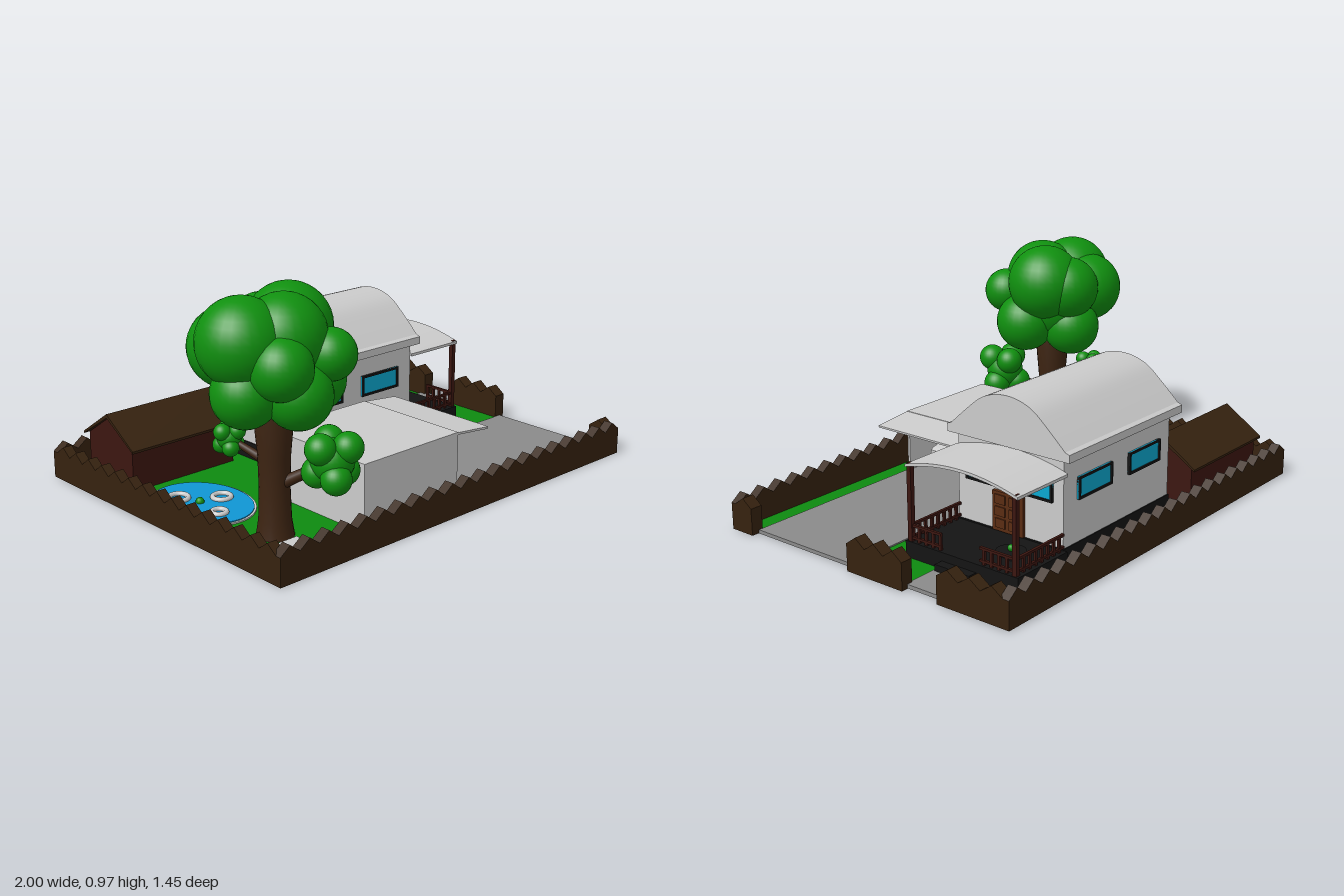
import * as THREE from 'three';
import { toCreasedNormals } from 'three/addons/utils/BufferGeometryUtils.js';

const mat = (color) => new THREE.MeshStandardMaterial({ color });
const M = {
  grey: mat(0xcccccc), paving: mat(0x8a8a8a), lawn: mat(0x0e8a10), leaf: mat(0x10900f),
  fence: mat(0x36220f), bark: mat(0x3d2412), red: mat(0x3c1610), door: mat(0x5a2c12),
  black: mat(0x141414), glass: mat(0x0aa8d0), water: mat(0x1096d4),
};

function add(parent, name, geo, material, x = 0, y = 0, z = 0) {
  const m = new THREE.Mesh(geo, material);
  m.name = name;
  m.position.set(x, y, z);
  parent.add(m);
  return m;
}

// box given by its extents along each axis
function box(parent, name, material, x0, x1, y0, y1, z0, z1) {
  return add(parent, name, new THREE.BoxGeometry(x1 - x0, y1 - y0, z1 - z0), material,
    (x0 + x1) / 2, (y0 + y1) / 2, (z0 + z1) / 2);
}

function group(parent, name, x = 0, y = 0, z = 0) {
  const g = new THREE.Group();
  g.name = name;
  g.position.set(x, y, z);
  parent.add(g);
  return g;
}

function extrude(pts, depth) {
  const shape = new THREE.Shape(pts.map(([x, y]) => new THREE.Vector2(x, y)));
  return new THREE.ExtrudeGeometry(shape, { depth, bevelEnabled: false });
}

// profile of [z, y] points swept from x0 to x1
function sweepX(parent, name, material, pts, x0, x1) {
  const geo = extrude(pts.map(([z, y]) => [-z, y]), x1 - x0).rotateY(Math.PI / 2);
  return add(parent, name, toCreasedNormals(geo, 0.4), material, x0);
}

// straight limb between two points
function limb(parent, name, a, b, r0, r1) {
  const p = new THREE.Vector3(...a), q = new THREE.Vector3(...b), d = q.clone().sub(p);
  const m = add(parent, name, new THREE.CylinderGeometry(r1, r0, d.length(), 16), M.bark);
  m.position.copy(p).add(q).multiplyScalar(0.5);
  m.quaternion.setFromUnitVectors(new THREE.Vector3(0, 1, 0), d.normalize());
}

// fence panel with a saw-tooth top; runs along x or along z
function fencePanel(parent, start, end, offset, thick, alongZ) {
  const len = end - start, n = Math.max(1, Math.round(len / 0.095)), pts = [[0, 0], [len, 0]];
  for (let i = n; i > 0; i--) pts.push([len * i / n, 0.115], [len * (i - 0.5) / n, 0.15]);
  pts.push([0, 0.115]);
  const m = add(parent, 'fencePanel', extrude(pts, thick), M.fence);
  if (alongZ) {
    m.rotation.y = -Math.PI / 2;
    m.position.set(offset + thick, 0, start);
  } else m.position.set(start, 0, offset);
}

// framed window facing +z before rotation
function windowUnit(parent, x, y, z, w, h, rot) {
  const g = group(parent, 'window', x, y, z);
  g.rotation.y = rot;
  add(g, 'windowGlass', new THREE.BoxGeometry(w, h, 0.012), M.glass);
  const b = 0.009;
  for (const s of [-1, 1]) {
    add(g, 'windowFrame', new THREE.BoxGeometry(w, b, 0.026), M.black, 0, s * (h - b) / 2);
    add(g, 'windowFrame', new THREE.BoxGeometry(b, h, 0.026), M.black, s * (w - b) / 2);
  }
}

function buildHouse(root) {
  const g = group(root, 'house');
  box(g, 'foundation', M.black, -0.245, 0.485, 0.012, 0.085, -0.575, -0.045);
  box(g, 'walls', M.grey, -0.24, 0.48, 0.08, 0.45, -0.57, -0.05);
  // barrel roof
  const curve = new THREE.SplineCurve([[0.28, 0.485], [0.2, 0.558], [0.13, 0.615], [0.065, 0.642], [0, 0.65],
    [-0.065, 0.642], [-0.13, 0.615], [-0.2, 0.558], [-0.28, 0.485]].map((p) => new THREE.Vector2(p[0] - 0.31, p[1])));
  const arc = curve.getPoints(32).map((p) => [p.x, p.y]);
  sweepX(g, 'roof', M.grey, [[-0.61, 0.445], [-0.01, 0.445], [-0.01, 0.478], ...arc, [-0.61, 0.478]].reverse(), -0.27, 0.5);
  // windows
  for (const [x, w] of [[-0.052, 0.22], [0.285, 0.22]]) {
    windowUnit(g, x, 0.308, -0.05, w, 0.092, 0);
    windowUnit(g, x, 0.308, -0.57, w, 0.092, Math.PI);
  }
  for (const z of [-0.165, -0.452]) {
    windowUnit(g, 0.48, 0.308, z, 0.14, 0.088, Math.PI / 2);
    windowUnit(g, -0.24, 0.308, z, 0.14, 0.088, -Math.PI / 2);
  }
  // door with raised panels
  box(g, 'door', M.door, 0.475, 0.495, 0.085, 0.25, -0.386, -0.234);
  for (let i = 0; i < 3; i++) for (const z of [-0.345, -0.275])
    box(g, 'doorPanel', M.door, 0.49, 0.5, 0.1 + i * 0.05, 0.138 + i * 0.05, z - 0.025, z + 0.025);
}

function buildPorch(root) {
  const g = group(root, 'porch');
  box(g, 'porchDeck', M.black, 0.48, 0.78, 0.012, 0.08, -0.59, -0.035);
  box(g, 'porchStep', M.black, 0.78, 0.82, 0.012, 0.045, -0.39, -0.22);
  // arched canopy
  const top = [], under = [];
  for (let i = 0; i <= 20; i++) {
    const t = i / 10 - 1, y = 0.395 + 0.042 * (1 - t * t);
    top.push([-0.315 + t * 0.275, y]);
    under.unshift([-0.315 + t * 0.275, y - 0.012]);
  }
  sweepX(g, 'porchRoof', M.grey, [...top, ...under], 0.48, 0.78);
  // posts and railings
  const bar = (...e) => box(g, 'railing', M.red, ...e);
  for (const z of [-0.055, -0.57]) {
    box(g, 'porchPost', M.red, 0.756, 0.776, 0.08, 0.4, z - 0.01, z + 0.01);
    for (const y of [0.09, 0.14]) bar(0.48, 0.77, y, y + 0.01, z - 0.006, z + 0.006);
    for (let x = 0.5; x < 0.75; x += 0.036) bar(x, x + 0.012, 0.08, 0.145, z - 0.005, z + 0.005);
  }
  for (const [a, b] of [[-0.57, -0.4], [-0.21, -0.055]]) {
    for (const y of [0.09, 0.14]) bar(0.76, 0.772, y, y + 0.01, a, b);
    for (let z = a; z < b; z += 0.036) bar(0.761, 0.771, 0.08, 0.145, z, z + 0.012);
  }
  // table with plant
  add(g, 'tableTop', new THREE.CylinderGeometry(0.06, 0.06, 0.008, 24), M.black, 0.67, 0.115, -0.47);
  add(g, 'tableLeg', new THREE.CylinderGeometry(0.01, 0.01, 0.035, 10), M.black, 0.67, 0.097, -0.47);
  add(g, 'tablePlant', new THREE.SphereGeometry(0.014, 12, 8), M.leaf, 0.67, 0.13, -0.47);
}

function buildCar(root, x, z, w, lift) {
  const g = group(root, 'car', x, lift, z);
  const side = [[-0.17, 0.025], [0.17, 0.025], [0.17, 0.07], [0.15, 0.08], [0.065, 0.098], [0.02, 0.16], [-0.1, 0.16], [-0.165, 0.1]];
  add(g, 'carBody', extrude(side, w - 0.02), M.grey, 0, 0, -w / 2 + 0.01);
  const shield = add(g, 'windshield', new THREE.BoxGeometry(0.008, 0.068, w - 0.035), M.glass, 0.043, 0.129, 0);
  shield.rotation.z = 0.628;
  box(g, 'bumper', M.black, 0.165, 0.178, 0.03, 0.042, -w / 2 + 0.01, w / 2 - 0.01);
  for (const s of [-1, 1]) {
    box(g, 'sideGlass', M.glass, -0.09, 0.015, 0.108, 0.148, s * (w / 2 - 0.011) - 0.003, s * (w / 2 - 0.011) + 0.003);
    for (const wx of [-0.1, 0.1])
      add(g, 'wheel', new THREE.CylinderGeometry(0.032, 0.032, 0.022, 20).rotateX(Math.PI / 2), M.black, wx, 0.032, s * (w / 2 - 0.009));
  }
}

function buildGarage(root) {
  const g = group(root, 'garage');
  box(g, 'garageFloor', M.paving, -0.43, 0.08, 0.01, 0.018, 0.08, 0.59);
  box(g, 'garageBack', M.grey, -0.44, -0.42, 0.01, 0.275, 0.07, 0.605);
  for (const z of [0.07, 0.593]) box(g, 'garageWall', M.grey, -0.42, 0.08, 0.01, 0.275, z, z + 0.012);
  box(g, 'garageRoof', M.grey, -0.44, 0.08, 0.272, 0.292, 0.07, 0.605);
  const door = box(g, 'raisedDoor', M.grey, 0.078, 0.262, 0.272, 0.281, 0.07, 0.605);
  door.rotation.z = -0.1;
  buildCar(g, -0.2, 0.482, 0.19, 0.015);
  buildCar(g, -0.11, 0.207, 0.18, 0.02);
}

function buildTree(root) {
  const g = group(root, 'tree');
  const trunk = [[0.075, 0.01], [0.064, 0.08], [0.06, 0.2], [0.063, 0.33], [0.078, 0.5], [0.06, 0.6]];
  add(g, 'trunk', new THREE.LatheGeometry(trunk.map((p) => new THREE.Vector2(...p)), 20), M.bark, -0.69, 0, 0.38);
  limb(g, 'branch', [-0.69, 0.22, 0.4], [-0.59, 0.33, 0.57], 0.025, 0.018);
  limb(g, 'branch', [-0.7, 0.3, 0.36], [-0.77, 0.375, 0.23], 0.02, 0.012);
  const ball = (x, y, z, r) => add(g, 'foliage', new THREE.SphereGeometry(r, 28, 18), M.leaf, x, y, z);
  [[-0.83, 0.795, 0.37, 0.17], [-0.57, 0.8, 0.33, 0.17], [-0.8, 0.75, 0.26, 0.155], [-0.68, 0.8, 0.43, 0.165],
    [-0.56, 0.735, 0.55, 0.1], [-0.84, 0.61, 0.4, 0.13], [-0.54, 0.61, 0.42, 0.135], [-0.69, 0.6, 0.52, 0.13],
    [-0.66, 0.59, 0.25, 0.13], [-0.68, 0.7, 0.36, 0.2], [-0.62, 0.78, 0.24, 0.14], [-0.78, 0.72, 0.53, 0.12],
  ].forEach((b) => ball(...b));
  // small clumps at the branch ends
  for (const [x, y, z, s] of [[-0.58, 0.34, 0.58, 1], [-0.775, 0.38, 0.22, 0.55]]) {
    ball(x, y, z, 0.085 * s);
    for (let i = 0; i < 6; i++) {
      const a = i * Math.PI / 3;
      ball(x + Math.cos(a) * 0.06 * s, y + (i % 2 ? 0.055 : -0.055) * s, z + Math.sin(a) * 0.06 * s, 0.06 * s);
    }
  }
}

function buildPool(root) {
  const g = group(root, 'pool', -0.71, 0, -0.04);
  const disc = (name, rx, rz, h, m) =>
    add(g, name, new THREE.CylinderGeometry(1, 1, h, 48), m, 0, 0.008 + h / 2).scale.set(rx, 1, rz);
  disc('poolRim', 0.193, 0.243, 0.01, M.grey);
  disc('poolWater', 0.184, 0.234, 0.014, M.water);
  for (const [x, z, r] of [[-0.05, -0.095, 0.041], [0.085, 0.015, 0.037], [-0.02, 0.13, 0.029]])
    add(g, 'swimRing', new THREE.TorusGeometry(r, 0.011, 10, 28).rotateX(Math.PI / 2), M.grey, x, 0.026, z);
  add(g, 'floatingPlant', new THREE.SphereGeometry(0.018, 14, 8), M.leaf, -0.01, 0.026, -0.005);
}

export function createModel() {
  const root = new THREE.Group();
  root.name = 'houseWithGarden';
  box(root, 'lawn', M.lawn, -0.93, 0.965, 0.003, 0.012, -0.7, 0.7);
  box(root, 'driveway', M.paving, 0.08, 0.97, 0.002, 0.018, 0.07, 0.6);
  box(root, 'path', M.paving, 0.78, 0.97, 0.002, 0.018, -0.42, -0.21);

  // perimeter fence with two gateways
  const fence = group(root, 'fence');
  fencePanel(fence, -0.96, 1, 0.68, 0.042, false);
  fencePanel(fence, -0.96, 1, -0.728, 0.042, false);
  fencePanel(fence, -0.7, 0.7, -0.96, 0.042, true);
  for (const [a, b] of [[0.605, 0.7], [-0.22, 0.065], [-0.7, -0.39]]) fencePanel(fence, a, b, 0.945, 0.055, true);

  buildHouse(root);
  buildPorch(root);
  buildGarage(root);
  buildTree(root);
  buildPool(root);

  // garden shed
  const shed = group(root, 'shed');
  sweepX(shed, 'shedWalls', M.red, [[-0.335, 0], [-0.335, 0.195], [-0.487, 0.295], [-0.64, 0.195], [-0.64, 0]], -0.835, -0.315);
  sweepX(shed, 'shedRoof', M.fence, [[-0.31, 0.185], [-0.31, 0.195], [-0.487, 0.312], [-0.662, 0.195],
    [-0.662, 0.185], [-0.487, 0.295]], -0.85, -0.302);

  box(root, 'storageBox', M.grey, -0.87, -0.75, 0.012, 0.085, 0.57, 0.65);
  return root;
}
